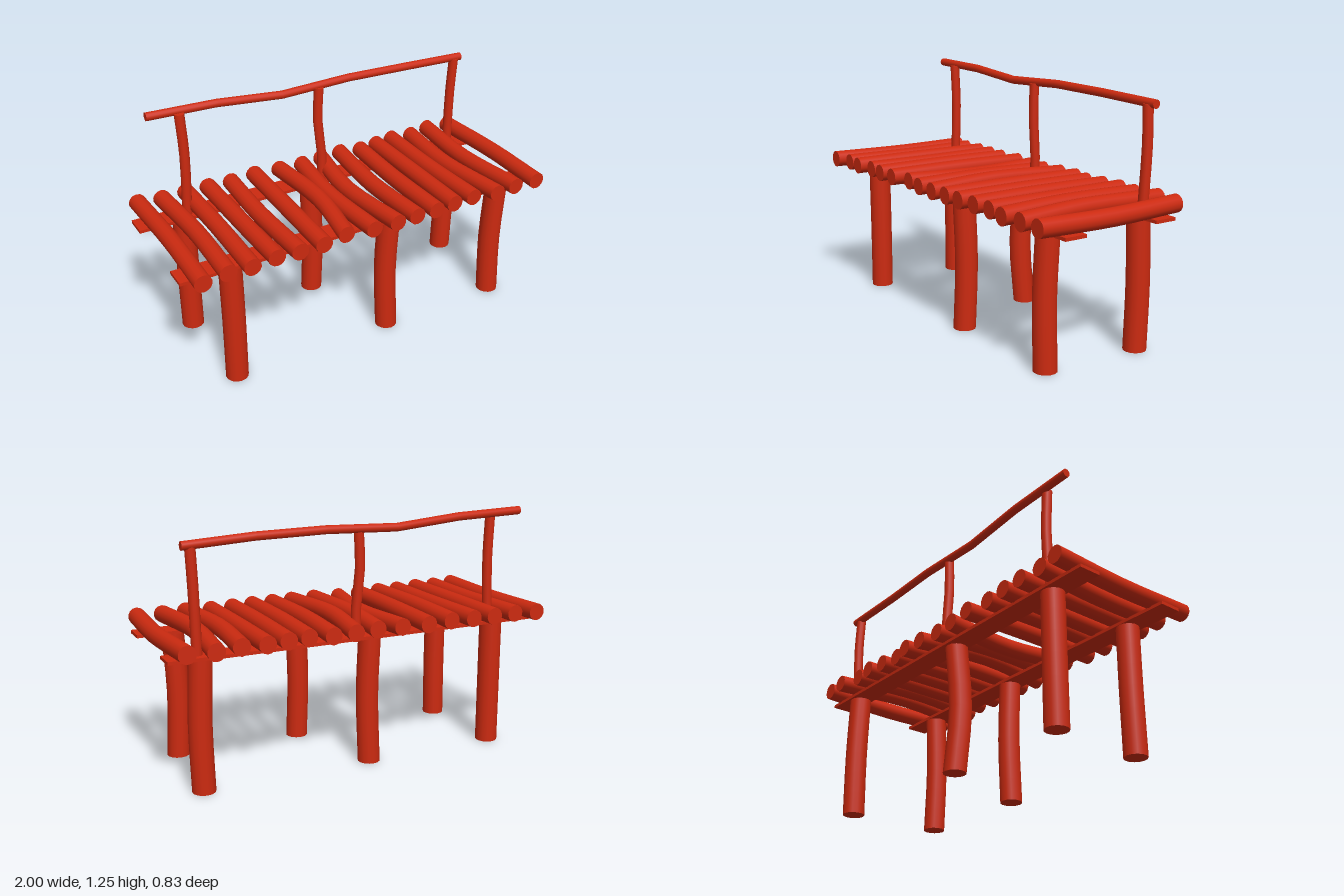
import * as THREE from 'three';

const wood = new THREE.MeshStandardMaterial({ color: 0xcc2a10 });

// Round pole with closed ends that follows a gently bent path along one main axis
function pole(name, axis, path, radius, segments, smooth = true) {
  const points = path.map(p => new THREE.Vector3(...p));
  const curve = new THREE.CatmullRomCurve3(points);
  const geo = new THREE.CylinderGeometry(radius, radius, 1, 14, segments);
  const pos = geo.attributes.position;
  const along = [];
  for (let i = 0; i < pos.count; i++) {
    along.push(pos.getY(i) + 0.5);
    pos.setY(i, 0);
  }
  if (axis === 'x') geo.rotateZ(-Math.PI / 2);
  if (axis === 'z') geo.rotateX(Math.PI / 2);
  for (let i = 0; i < pos.count; i++) {
    const c = smooth ? curve.getPoint(along[i]) : points[Math.round(along[i] * segments)];
    pos.setXYZ(i, pos.getX(i) + c.x, pos.getY(i) + c.y, pos.getZ(i) + c.z);
  }
  const mesh = new THREE.Mesh(geo, wood);
  mesh.name = name;
  return mesh;
}

export function createModel() {
  const model = new THREE.Group();
  model.name = 'logBridge';

  // Legs: x and z at the foot, then sideways and depthwise bulge at mid height
  const legs = [
    ['frontLeg', -0.73, 0.24, 0.002, 0],
    ['frontLeg', 0.135, 0.24, -0.004, -0.016],
    ['frontLeg', 0.80, 0.24, -0.012, 0],
    ['backLeg', -0.755, -0.267, 0, 0],
    ['backLeg', -0.045, -0.262, -0.002, 0.028],
    ['backLeg', 0.832, -0.267, 0.008, 0],
  ];
  for (const [name, x, z, bulgeX, bulgeZ] of legs) {
    model.add(pole(name, 'y',
      [[x, 0, z], [x + bulgeX, 0.34, z + bulgeZ], [x - bulgeX / 2, 0.66, z]], 0.057, 6));
  }

  // Two flat beams under the deck
  for (const [name, z] of [['frontBeam', 0.24], ['backBeam', -0.275]]) {
    const beam = new THREE.Mesh(new THREE.BoxGeometry(2, 0.016, 0.115), wood);
    beam.position.set(0, 0.663, z);
    beam.name = name;
    model.add(beam);
  }

  // Deck logs: x at back, middle and front, then z at back and front
  const logs = [
    [-0.935, -0.92, -0.93, -0.42, 0.41],
    [-0.815, -0.79, -0.80, -0.40, 0.39],
    [-0.685, -0.68, -0.685, -0.405, 0.40],
    [-0.565, -0.56, -0.555, -0.40, 0.385],
    [-0.44, -0.455, -0.44, -0.39, 0.395],
    [-0.30, -0.31, -0.315, -0.405, 0.395],
    [-0.16, -0.125, -0.18, -0.39, 0.37],
    [-0.03, -0.065, -0.04, -0.38, 0.395],
    [0.095, 0.04, 0.09, -0.395, 0.40],
    [0.215, 0.185, 0.205, -0.40, 0.395],
    [0.33, 0.315, 0.32, -0.375, 0.395],
    [0.44, 0.435, 0.435, -0.39, 0.385],
    [0.55, 0.545, 0.555, -0.405, 0.38],
    [0.67, 0.64, 0.685, -0.39, 0.405],
    [0.80, 0.765, 0.81, -0.42, 0.395],
    [0.93, 0.955, 0.94, -0.405, 0.40],
  ];
  logs.forEach(([xBack, xMid, xFront, zBack, zFront], i) => {
    const lift = (i % 3 - 1) * 0.003;
    model.add(pole('deckLog', 'z',
      [[xBack, 0.713, zBack], [xMid, 0.713 + lift, 0], [xFront, 0.713, zFront]], 0.044, 8));
  });

  // Railing posts
  const posts = [
    [[-0.735, 0.66, -0.262], [-0.722, 0.99, -0.265], [-0.732, 1.215, -0.262]],
    [[0.03, 0.66, -0.265], [0.035, 0.8, -0.268], [0.015, 1.0, -0.27], [0.022, 1.185, -0.268]],
    [[0.845, 0.66, -0.275], [0.855, 0.98, -0.283], [0.86, 1.172, -0.274]],
  ];
  for (const path of posts) model.add(pole('railPost', 'y', path, 0.025, 6));

  // Crooked handrail
  model.add(pole('handrail', 'x', [
    [-0.89, 1.225, -0.285], [-0.53, 1.215, -0.285], [-0.18, 1.184, -0.28],
    [0.2, 1.197, -0.278], [0.55, 1.191, -0.27], [0.905, 1.174, -0.282],
  ], 0.021, 5, false));

  return model;
}
